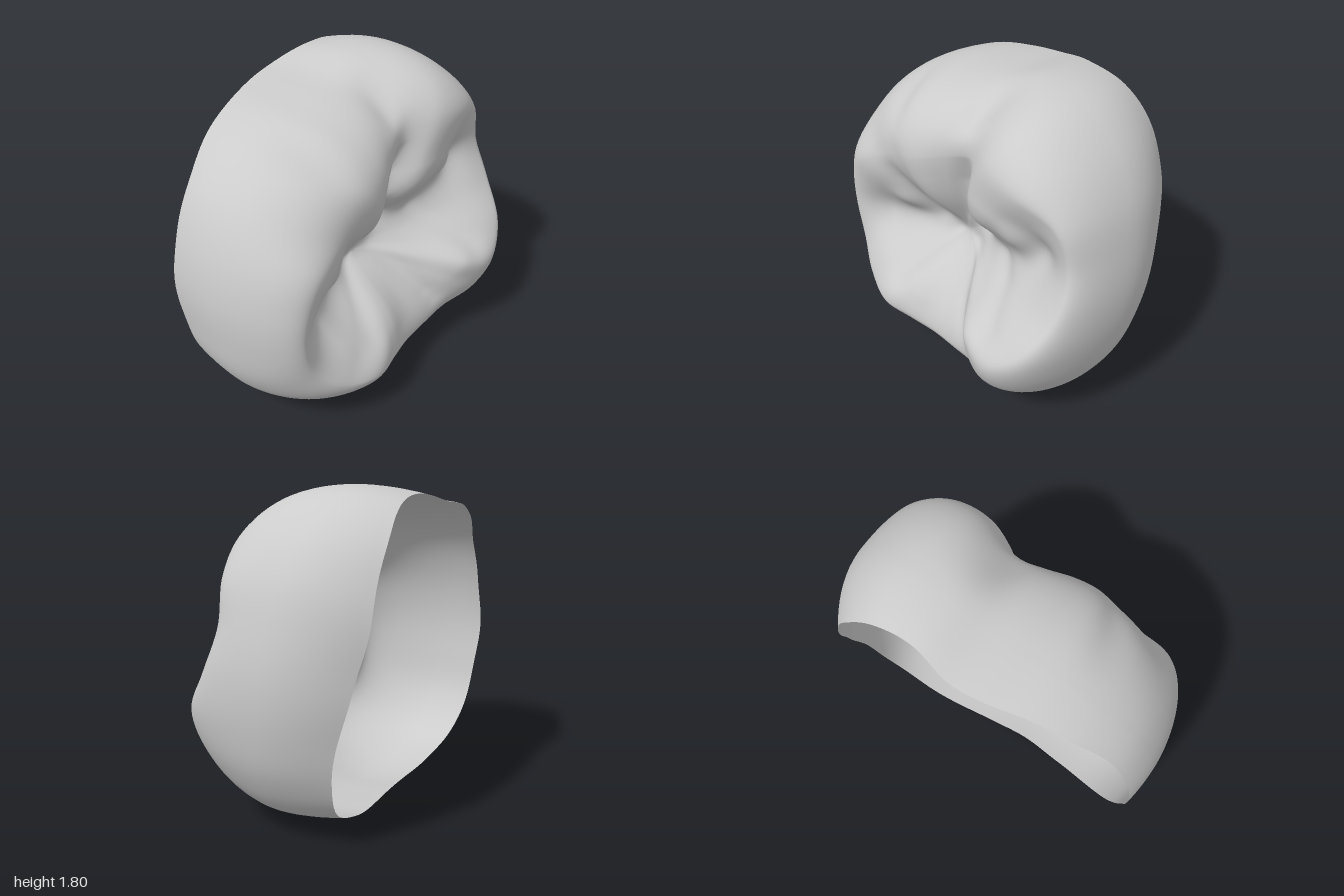
import * as THREE from 'three';

// Cross-section data, one value per 15 degrees counter-clockwise from +x around (0, CY)
const CY = 0.9;
const OUTLINE = [.995, .995, 1.02, 1.03, 1.01, .925, .83, .83, .88, .93, .97, .985,
  1.0, 1.025, 1.075, 1.075, 1.0, .932, .88, .89, .96, 1.045, 1.04, 1.01];
const RIDGE_R = [.88, .89, .91, .78, .66, .56, .5, .47, .48, .52, .58, .7,
  .77, .82, .84, .81, .72, .66, .65, .67, .69, .73, .73, .83];
const RIDGE_Z = [.34, .25, .27, .34, .33, .24, .28, .34, .37, .36, .36, .39,
  .38, .37, .38, .45, .51, .47, .43, .42, .44, .525, .57, .49];
const RIM_Z = [-.48, -.53, -.55, -.55, -.53, -.51, -.56, -.53, -.48, -.43, -.38, -.37,
  -.38, -.36, -.33, -.29, -.24, -.22, -.24, -.28, -.3, -.32, -.36, -.42];

// Chewing-surface grooves: x1, y1, x2, y2, depth, width
const GROOVES = [
  [-.66, .68, -.4, .73, .03, .13], [-.4, .73, -.12, .75, .03, .12], [-.12, .75, .1, .9, .02, .1],
  [.1, .9, .62, 1.0, .03, .14], [.08, .95, .11, 1.4, .06, .07], [.05, .75, .27, .38, .025, .06],
  [-.15, .72, -.3, .45, .02, .06], [.35, .9, .55, .65, .025, .07], [-.25, .82, -.42, 1.12, .025, .07],
];
// Pits and swellings: x, y, height, width
const BUMPS = [
  [.7, 1.14, -.08, .12], [.5, 1.15, .04, .1], [-.64, .74, -.05, .16], [-.42, .86, .03, .08],
  [-.12, 1.05, .02, .14], [.32, 1.1, .06, .2], [-.1, .5, .025, .12], [.42, .6, .03, .12], [-.5, .5, .02, .12],
];
// Dents running down the upper shoulder between cusps: angle, depth, width
const DENTS = [[1.42, .06, .14], [2.2, .03, .12]];

// Periodic Catmull-Rom lookup
function sample(table, angle) {
  const n = table.length, f = angle / (2 * Math.PI) * n, i = Math.floor(f), t = f - i;
  const [a, b, c, d] = [-1, 0, 1, 2].map(k => table[(i + k + n) % n]);
  return b + .5 * t * (c - a + t * (2 * a - 5 * b + 4 * c - d + t * (3 * (b - c) + d - a)));
}

function relief(x, y) {
  let z = 0;
  for (const [x1, y1, x2, y2, depth, w] of GROOVES) {
    const dx = x2 - x1, dy = y2 - y1;
    const k = THREE.MathUtils.clamp(((x - x1) * dx + (y - y1) * dy) / (dx * dx + dy * dy), 0, 1);
    const d = Math.hypot(x - x1 - k * dx, y - y1 - k * dy);
    z -= depth * Math.exp(-d * d / (w * w));
  }
  for (const [bx, by, h, w] of BUMPS) {
    z += h * Math.exp(-((x - bx) ** 2 + (y - by) ** 2) / (w * w));
  }
  return z;
}

const WALL = 10, SHOULDER = 18, TABLE = 34, COLS = 160;
const FLOOR = { x: -.08, y: -.13, z: .12 };

// Position of one row of the shell at one angle
function shellPoint(row, a) {
  const c = Math.cos(a), s = Math.sin(a);
  const R = sample(OUTLINE, a), rr = sample(RIDGE_R, a), rz = sample(RIDGE_Z, a);
  const bulgeZ = -.1 - .13 * s + .04 * c;
  if (row < WALL) { // side wall, from the open back edge to the widest contour
    const v = 1 - row / WALL;
    const rimZ = sample(RIM_Z, a) + .003 * Math.sin(13 * a);
    const tuck = .025 + .16 * Math.max(0, Math.cos(a - .2)) ** 3;
    const r = R * (1 - tuck * v * v);
    return [r * c, CY + r * s, bulgeZ + (rimZ - bulgeZ) * v];
  }
  if (row <= WALL + SHOULDER) { // rounded shoulder up to the cusp ridge
    const u = (row - WALL) / SHOULDER * Math.PI / 2;
    const e = 2 / (1.85 + .3 * s + .2 * Math.max(0, c));
    let r = rr + (R - rr) * Math.cos(u) ** e;
    for (const [at, depth, w] of DENTS) {
      r -= depth * Math.sin(2 * u) ** 2 * Math.exp(-(((a - at) / w) ** 2));
    }
    return [r * c, CY + r * s, bulgeZ + (rz - bulgeZ) * Math.sin(u) ** e];
  }
  // chewing surface, from the ridge to the off-centre hollow
  const t = 1 - (row - WALL - SHOULDER) / TABLE, r = rr * t;
  const x = r * c + FLOOR.x * (1 - t), y = CY + r * s + FLOOR.y * (1 - t);
  const rise = Math.sin(t * Math.PI / 2) ** (1.5 + .6 * c * c);
  return [x, y, FLOOR.z + (rz - FLOOR.z) * rise + relief(x, y) * Math.min(1, 3.5 * (1 - t))];
}

function crownGeometry() {
  const rows = WALL + SHOULDER + TABLE, pos = [], index = [];
  for (let i = 0; i < rows; i++) {
    for (let j = 0; j < COLS; j++) pos.push(...shellPoint(i, j / COLS * 2 * Math.PI));
  }
  pos.push(...shellPoint(rows, 0));
  const centre = rows * COLS;
  for (let i = 0; i < rows; i++) {
    for (let j = 0; j < COLS; j++) {
      const k = (j + 1) % COLS, a = i * COLS + j, b = i * COLS + k;
      if (i === rows - 1) index.push(a, b, centre);
      else index.push(a, b, b + COLS, a, b + COLS, a + COLS);
    }
  }
  const g = new THREE.BufferGeometry();
  g.setAttribute('position', new THREE.Float32BufferAttribute(pos, 3));
  g.setIndex(index);
  g.computeVertexNormals();
  return g;
}

export function createModel() {
  const group = new THREE.Group();
  group.name = 'molarCrown';
  // Thin open shell, hollow at the back
  const material = new THREE.MeshStandardMaterial({ color: 0xcccccc, side: THREE.DoubleSide });
  const crown = new THREE.Mesh(crownGeometry(), material);
  crown.name = 'crownShell';
  group.add(crown);
  return group;
}
